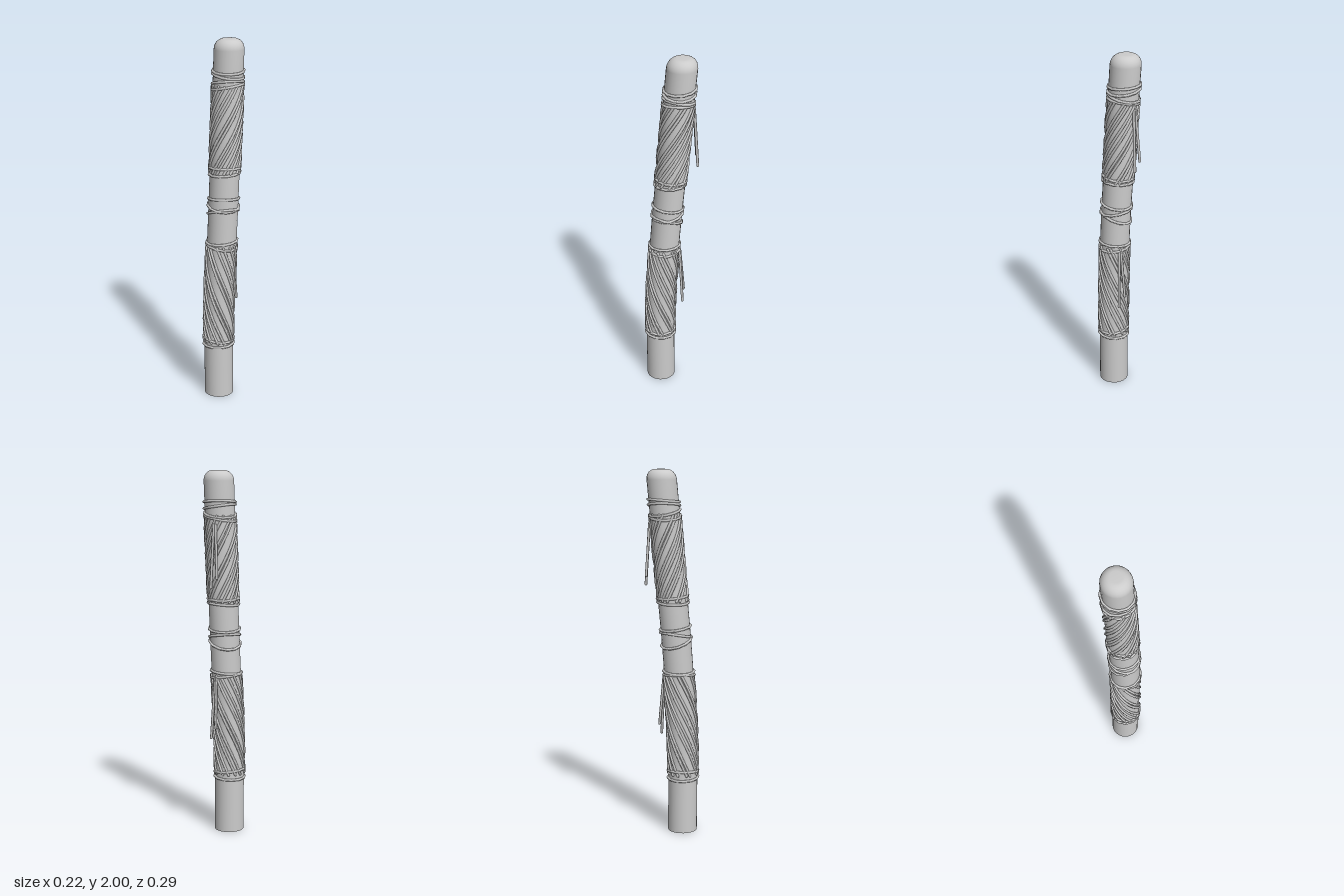
import * as THREE from 'three';

const R = 0.081;      // post radius
const CORD = 0.0075;  // cord radius
const material = new THREE.MeshStandardMaterial({ color: 0xcccccc });

// Gently bent centre line, control points evenly spaced in height
const spine = new THREE.CatmullRomCurve3([
  [0.018, 0, 0.05], [0.018, 0.5, 0.05], [0.014, 1, 0.02], [-0.005, 1.5, -0.02], [-0.026, 2, -0.06],
].map(p => new THREE.Vector3(...p)), false, 'catmullrom', 0.5);

// Point at height y, angle a (0 = front, positive towards +x) and distance r from the centre line
function around(y, a, r) {
  const c = spine.getPoint(THREE.MathUtils.clamp(y / 2, 0, 1));
  return new THREE.Vector3(c.x + Math.sin(a) * r, y, c.z + Math.cos(a) * r);
}

function addMesh(parent, name, geometry) {
  const mesh = new THREE.Mesh(geometry, material);
  mesh.name = name;
  parent.add(mesh);
}

function addCord(parent, name, points, segments, closed = false) {
  const curve = new THREE.CatmullRomCurve3(points, closed);
  addMesh(parent, name, new THREE.TubeGeometry(curve, segments, CORD, 6, closed));
  if (closed) return;
  // rounded cord ends
  for (const p of [points[0], points[points.length - 1]]) {
    const tip = new THREE.SphereGeometry(CORD, 6, 4);
    tip.translate(p.x, p.y, p.z);
    addMesh(parent, name + 'Tip', tip);
  }
}

// Closed loop of cord, tilted by the given rise to the right and to the front
function addRing(parent, y, riseX, riseZ) {
  const points = [];
  for (let i = 0; i < 12; i++) {
    const a = i / 12 * Math.PI * 2;
    points.push(around(y + riseX * Math.sin(a) + riseZ * Math.cos(a), a, 0.085));
  }
  addCord(parent, 'bindingRing', points, 12, true);
}

// Pairs of cords spiralling between two heights
function addSpirals(parent, y0, y1, turn) {
  const pairs = 7;
  for (let i = 0; i < pairs * 2; i++) {
    const start = (Math.floor(i / 2) + (i % 2) * 0.36) / pairs * Math.PI * 2 + 0.06 * Math.sin(i * 2.3);
    const points = [];
    for (let k = 0; k <= 10; k++) {
      const t = k / 10;
      points.push(around(y0 + (y1 - y0) * t, start + turn * t, 0.083));
    }
    addCord(parent, 'spiralCord', points, 14);
  }
}

// Two loose cord ends hanging down the back
function addTails(parent, y, a, lengths) {
  lengths.forEach((length, i) => {
    const p = around(y, a, 0.087);
    const out = new THREE.Vector3(Math.sin(a), 0, Math.cos(a));
    const side = new THREE.Vector3(out.z, 0, -out.x).multiplyScalar(i ? 0.022 : -0.012);
    const points = [0, 0.5, 1].map(t => {
      const q = p.clone().addScaledVector(side, 0.3 + t * 0.7);
      q.addScaledVector(out, 0.02 * t);
      q.y -= length * t;
      return q;
    });
    addCord(parent, 'hangingTail', points, 6);
  });
}

export function createModel() {
  const model = new THREE.Group();
  model.name = 'wrappedPost';

  // Post: rounded top, bent along the centre line
  const profile = [];
  for (let i = 0; i <= 20; i++) profile.push(new THREE.Vector2(R, i / 20 * 1.945));
  for (let i = 1; i <= 6; i++) {
    const a = i / 6 * Math.PI / 2;
    profile.push(new THREE.Vector2(R - 0.05 + 0.05 * Math.cos(a), 1.945 + 0.055 * Math.sin(a)));
  }
  profile.push(new THREE.Vector2(0, 2));
  const post = new THREE.LatheGeometry(profile, 24);
  const pos = post.attributes.position;
  for (let i = 0; i < pos.count; i++) {
    const c = spine.getPoint(pos.getY(i) / 2);
    pos.setX(i, pos.getX(i) + c.x);
    pos.setZ(i, pos.getZ(i) + c.z);
  }
  addMesh(model, 'post', post);

  // Flat underside
  const base = new THREE.CircleGeometry(R, 24);
  base.rotateX(Math.PI / 2);
  base.translate(0.018, 0, 0.05);
  addMesh(model, 'postBase', base);

  // Lower wrapping
  const lower = new THREE.Group();
  lower.name = 'lowerWrapping';
  addSpirals(lower, 0.33, 0.89, -Math.PI * 0.95);
  [[0.305, 0.004, 0], [0.343, -0.01, 0.004], [0.885, -0.012, 0.006], [0.908, 0.006, -0.004]]
    .forEach(r => addRing(lower, ...r));
  addTails(lower, 0.875, Math.PI + 0.12, [0.33, 0.27]);
  model.add(lower);

  // Loose loops in the middle
  const middle = new THREE.Group();
  middle.name = 'middleLoops';
  [[1.148, 0.01, 0.008], [1.108, -0.016, -0.006], [1.072, 0.03, 0.012]].forEach(r => addRing(middle, ...r));
  model.add(middle);

  // Upper wrapping
  const upper = new THREE.Group();
  upper.name = 'upperWrapping';
  addSpirals(upper, 1.3, 1.76, Math.PI * 0.95);
  [[1.288, 0.005, -0.004], [1.318, 0.006, 0.006], [1.75, 0.016, -0.006], [1.772, 0.018, 0.008],
    [1.81, -0.012, 0.005], [1.834, -0.006, -0.005]].forEach(r => addRing(upper, ...r));
  addTails(upper, 1.715, Math.PI + 0.52, [0.33, 0.28]);
  model.add(upper);

  return model;
}
